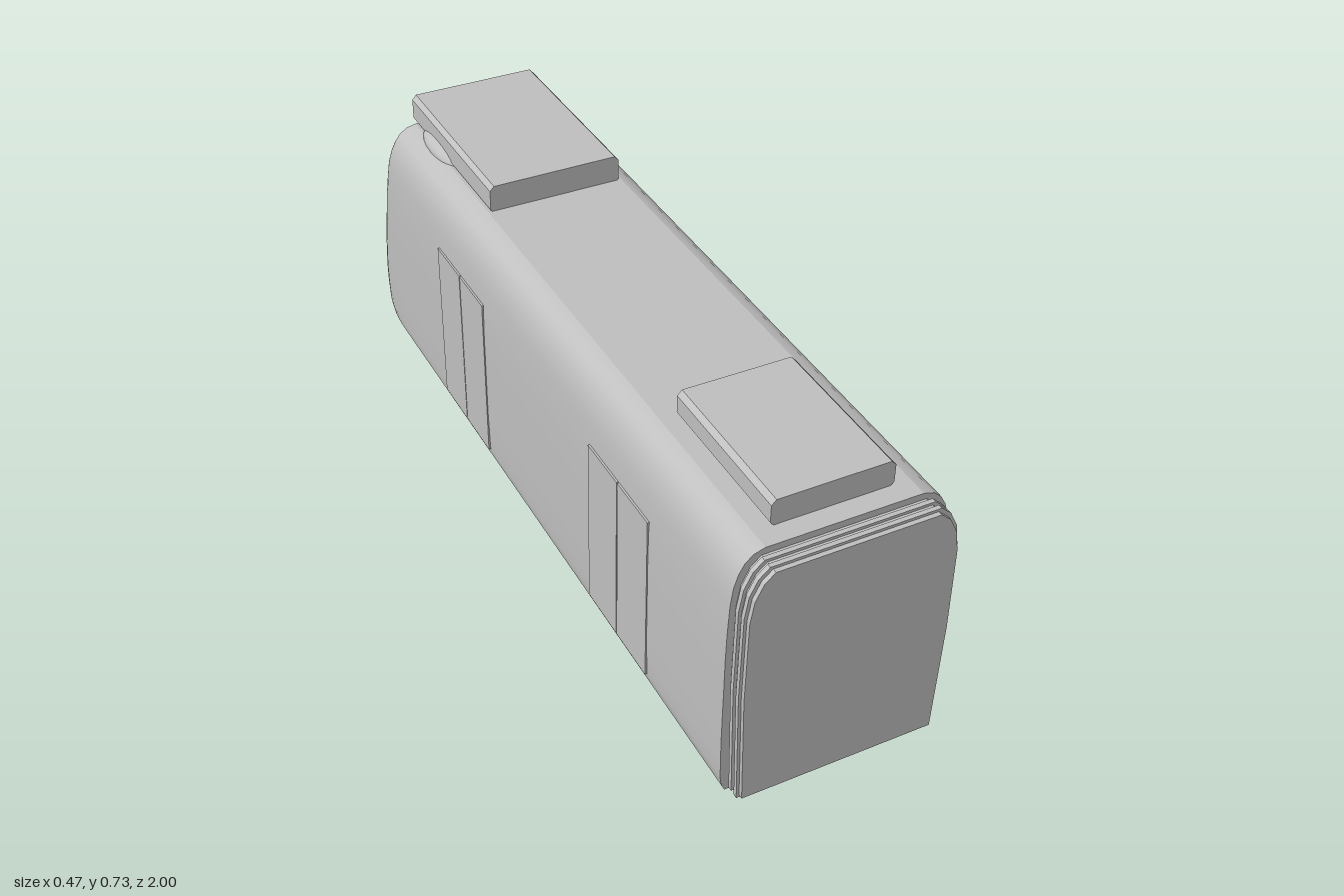
import * as THREE from 'three';

const paint = new THREE.MeshStandardMaterial({ name: 'grey paint', color: 0xc0c0c0 });
const glass = new THREE.MeshStandardMaterial({ name: 'dark glass', color: 0x38424a });

// Body levels: height, half width, front end of the nose
const LEVELS = [
  [0.06, 0.222, -0.955], [0.075, 0.229, -0.98], [0.1, 0.233, -0.992], [0.15, 0.234, -1],
  [0.2, 0.235, -0.996], [0.24, 0.235, -0.988], [0.3, 0.235, -0.968], [0.36, 0.235, -0.943],
  [0.42, 0.235, -0.916], [0.48, 0.234, -0.886], [0.55, 0.231, -0.845], [0.59, 0.226, -0.81],
  [0.62, 0.217, -0.784], [0.642, 0.205, -0.763], [0.657, 0.188, -0.748], [0.664, 0.165, -0.74],
];
const NOSE = -0.735, REAR = 0.95, POWER = 2 / 2.8, STEPS = 30;

// Horizontal U-shaped section running from the left rear round the nose to the right rear
function section([y, w, front]) {
  const pts = [[w, y, REAR]];
  for (let i = 0; i <= STEPS; i++) {
    const a = Math.PI / 2 - (Math.PI * i) / STEPS;
    const s = Math.sin(a), c = Math.max(0, Math.cos(a));
    pts.push([Math.sign(s) * w * Math.abs(s) ** POWER, y, NOSE + (front - NOSE) * c ** POWER]);
  }
  pts.push([-w, y, REAR]);
  return pts;
}

// Skin over rows of points; isGlass picks the cells of the second material
function skin(rows, isGlass = () => false) {
  const n = rows[0].length, faces = [[], []];
  for (let r = 0; r < rows.length - 1; r++) {
    for (let c = 0; c < n - 1; c++) {
      const a = r * n + c, d = a + n;
      faces[isGlass(r, c) ? 1 : 0].push(a, a + 1, d + 1, a, d + 1, d);
    }
  }
  const g = new THREE.BufferGeometry();
  g.setAttribute('position', new THREE.Float32BufferAttribute(rows.flat(2), 3));
  g.setIndex(faces.flat());
  g.addGroup(0, faces[0].length, 0);
  g.addGroup(faces[0].length, faces[1].length, 1);
  g.computeVertexNormals();
  return g;
}

function add(parent, name, geometry, material, x = 0, y = 0, z = 0) {
  const m = new THREE.Mesh(geometry, material);
  m.name = name;
  m.position.set(x, y, z);
  parent.add(m);
  return m;
}

// Extrudes an outline given by its left half, bottom to top
function prism(half, depth) {
  const mirrored = half.map(([x, y]) => [-x, y]).reverse();
  const shape = new THREE.Shape([...half, ...mirrored].map(([x, y]) => new THREE.Vector2(x, y)));
  return new THREE.ExtrudeGeometry(shape, { depth, bevelEnabled: false });
}

export function createModel() {
  const model = new THREE.Group();
  model.name = 'railCar';

  // Body shell with the windscreen as its second material
  const rows = LEVELS.map(section);
  const inScreen = (r, c) =>
    LEVELS[r][0] >= 0.24 && LEVELS[r + 1][0] <= 0.55 && c >= 1 + STEPS / 6 && c < 1 + (STEPS * 5) / 6;
  add(model, 'bodyShell', skin(rows, inScreen), [paint, glass]);

  // Floor, roof and rear wall close the shell
  const halves = (row) => {
    const k = (row.length + 1) / 2;
    return [row.slice(0, k), row.slice(-k).reverse()];
  };
  const [floorL, floorR] = halves(rows[0]);
  const [roofL, roofR] = halves(rows[rows.length - 1]);
  add(model, 'floor', skin([floorR, floorL]), paint);
  add(model, 'roof', skin([roofL, roofR]), paint);
  add(model, 'rearWall', skin([rows.map((r) => r[0]), rows.map((r) => r[r.length - 1])]), paint);

  // Ribbed gangway at the flat end
  const gangway = new THREE.Group();
  gangway.name = 'gangway';
  model.add(gangway);
  const outline = [[0.219, 0.076], [0.227, 0.35], [0.225, 0.55], [0.217, 0.6], [0.2, 0.635], [0.178, 0.655]];
  for (let i = 0; i < 5; i++) {
    const inset = i % 2 ? 0 : 0.006;
    const half = outline.map(([x, y]) => [x - inset, y + (y < 0.3 ? inset : y > 0.5 ? -inset : 0)]);
    add(gangway, 'gangwayRib', prism(half, 0.01), paint, 0, 0, REAR + i * 0.01);
  }

  // Roof equipment
  const frontBox = [[0.148, 0.655], [0.159, 0.668], [0.159, 0.716], [0.149, 0.727]];
  const rearBox = [[0.12, 0.66], [0.13, 0.672], [0.13, 0.711], [0.12, 0.722]];
  add(model, 'frontRoofUnit', prism(frontBox, 0.475), paint, 0, 0, -0.76);
  add(model, 'rearRoofUnit', prism(rearBox, 0.355), paint, 0, 0, 0.55);

  // Slim visor inside the top of the windscreen
  add(model, 'screenVisor', new THREE.BoxGeometry(0.2, 0.006, 0.008), glass, 0, 0.53, -0.857);

  for (const side of [1, -1]) {
    // Fairing beside the front roof unit
    const fairing = add(model, 'roofFairing', new THREE.SphereGeometry(1, 20, 12), paint, side * 0.148, 0.66, -0.6);
    fairing.scale.set(0.031, 0.026, 0.1);

    // Headlight: ring with a low lens
    const light = new THREE.Group();
    light.name = 'headlight';
    light.position.set(side * 0.17, 0.167, -0.955);
    light.rotation.y = side * (Math.PI - 0.72);
    model.add(light);
    add(light, 'headlightRing', new THREE.TorusGeometry(0.017, 0.003, 6, 24), paint);
    add(light, 'headlightLens', new THREE.SphereGeometry(0.012, 16, 8), paint).scale.z = 0.4;

    // Double doors
    for (const z of [0.51, -0.3]) {
      for (const leaf of [-1, 1]) {
        add(model, 'doorLeaf', new THREE.BoxGeometry(0.006, 0.41, 0.13), paint,
          side * 0.2345, 0.3, z + leaf * 0.0665);
      }
    }

    // Wheels with a flange and hub
    for (const z of [-0.42, -0.78]) {
      const profile = [[0, -0.012], [0.045, -0.012], [0.05, -0.01], [0.055, 0.004], [0.06, 0.006], [0.06, 0.01], [0, 0.012]];
      const wheel = add(model, 'wheel',
        new THREE.LatheGeometry(profile.map(([r, h]) => new THREE.Vector2(r, h)), 32),
        paint, side * 0.15, 0.06, z);
      wheel.rotation.z = side * Math.PI / 2;
    }
  }

  // Bogie plate under the floor
  add(model, 'bogiePlate', new THREE.BoxGeometry(0.27, 0.012, 0.36), paint, 0, 0.06, -0.6);
  return model;
}
